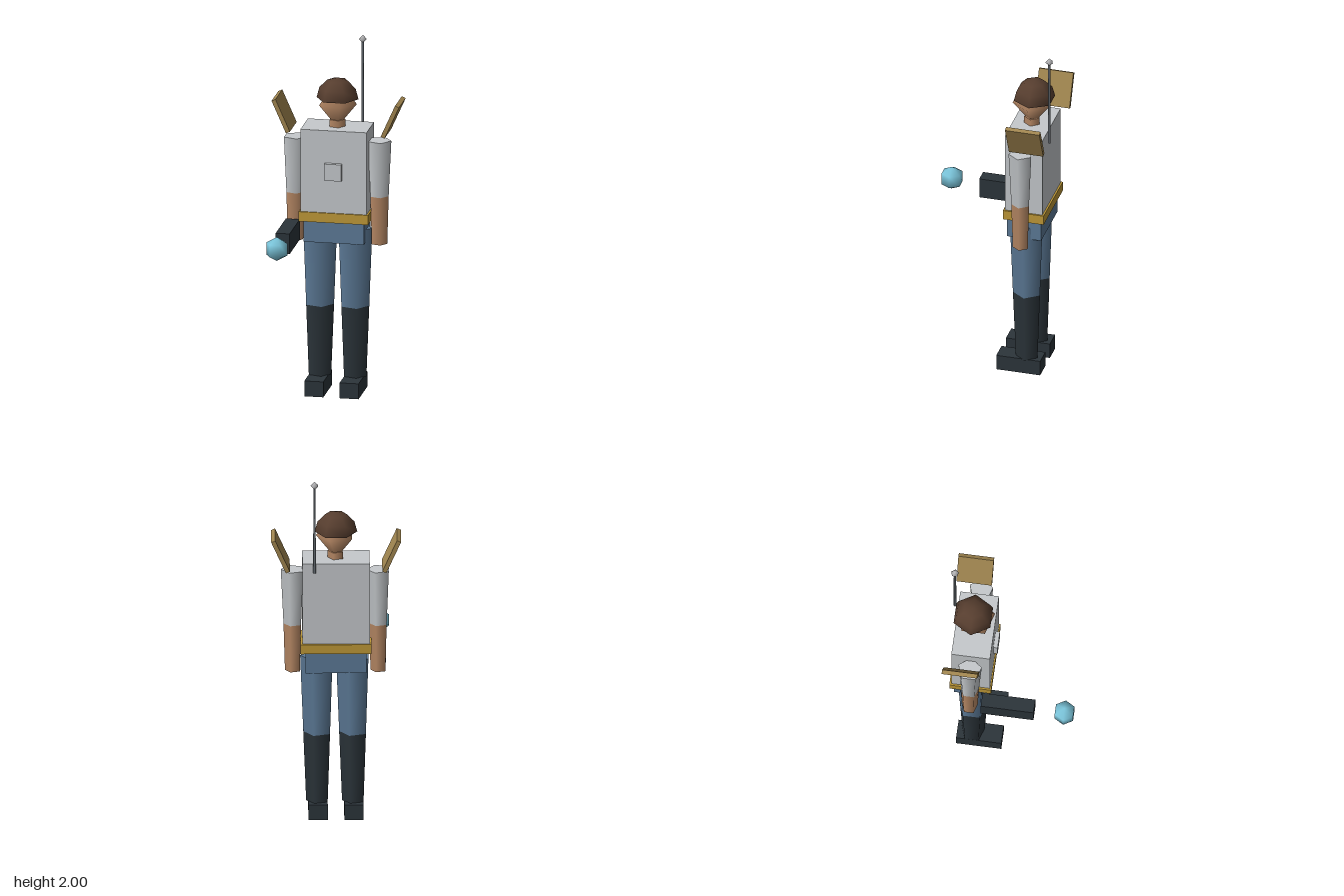
import * as THREE from 'three';

const mat = (name, color, side = THREE.FrontSide) => {
  const m = new THREE.MeshStandardMaterial({ color, side });
  m.name = name;
  return m;
};

export function createModel() {
  const shirt = mat('light grey cloth', 0xc6cacd);
  const gold = mat('gold belt', 0xc09a38);
  const denim = mat('blue trousers', 0x5d7b98);
  const dark = mat('dark boots', 0x2c353b);
  const tan = mat('tan pads', 0xa18650);
  const skin = mat('skin', 0xb98a66);
  const hair = mat('brown cap', 0x573e2f, THREE.DoubleSide);
  const cyan = mat('cyan glow', 0x7dc8de);
  const silver = mat('silver tip', 0xc4c4c6);
  const steel = mat('steel rod', 0x646b71);

  const model = new THREE.Group();
  const Z = -0.214; // depth of the body axis

  const add = (name, geometry, material, x, y, z) => {
    const mesh = new THREE.Mesh(geometry, material);
    mesh.name = name;
    mesh.position.set(x, y, z);
    model.add(mesh);
    return mesh;
  };
  // Box given by its limits on each axis
  const box = (name, material, [x0, x1], [y0, y1], [z0, z1]) =>
    add(name, new THREE.BoxGeometry(x1 - x0, y1 - y0, z1 - z0), material,
      (x0 + x1) / 2, (y0 + y1) / 2, (z0 + z1) / 2);
  // Five-sided tapered limb with one corner towards +x
  const limb = (name, material, x, z, y0, y1, r0, r1) =>
    add(name, new THREE.CylinderGeometry(r1, r0, y1 - y0, 5, 1, false, Math.PI / 2),
      material, x, (y0 + y1) / 2, z);

  // Trunk
  box('torso', shirt, [-0.185, 0.185], [1.04, 1.51], [-0.322, -0.108]);
  box('chestPlate', shirt, [-0.048, 0.048], [1.23, 1.325], [-0.11, -0.084]);
  box('belt', gold, [-0.195, 0.195], [0.985, 1.04], [-0.332, -0.1]);
  box('pelvis', denim, [-0.168, 0.168], [0.865, 0.985], [-0.31, -0.116]);

  // Limbs and shoulder pads
  for (const [side, s] of [['left', 1], ['right', -1]]) {
    const legX = s * 0.0985, armX = s * 0.235;
    limb(side + 'Thigh', denim, legX, Z, 0.49, 0.935, 0.081, 0.098);
    limb(side + 'Boot', dark, legX, Z, 0.085, 0.49, 0.065, 0.081);
    box(side + 'Foot', dark, [legX - 0.053, legX + 0.053], [0, 0.088], [-0.3, -0.05]);
    limb(side + 'Sleeve', shirt, armX, Z, 1.123, 1.44, 0.053, 0.068);
    limb(side + 'Forearm', skin, armX, Z, 0.85, 1.123, 0.045, 0.053);
    const pad = add(side + 'ShoulderPad', new THREE.BoxGeometry(0.024, 0.198, 0.196),
      tan, s * 0.305, 1.5625, -0.255);
    pad.rotation.z = -s * 0.42;
  }

  // Head: a stretched five-sided double pyramid under a faceted half-dome cap
  limb('neck', skin, 0, Z, 1.5, 1.55, 0.046, 0.046);
  const head = add('head', new THREE.SphereGeometry(0.11, 5, 2, Math.PI), skin, 0, 1.64, Z);
  head.scale.y = 1.25;
  add('cap', new THREE.SphereGeometry(0.117, 6, 3, 0, Math.PI * 2, 0, Math.PI / 2),
    hair, 0, 1.665, -0.225);

  // Antenna on the back
  limb('antennaRod', steel, 0.118, -0.343, 1.465, 1.978, 0.008, 0.007);
  add('antennaTip', new THREE.SphereGeometry(0.023, 5, 2, Math.PI), silver, 0.118, 1.977, -0.343);

  // Hand-held blaster and its glowing shot
  box('blaster', dark, [-0.274, -0.196], [0.867, 0.983], [-0.147, 0.145]);
  add('energyBall', new THREE.SphereGeometry(0.068, 6, 3), cyan, -0.235, 0.943, 0.312);

  return model;
}
